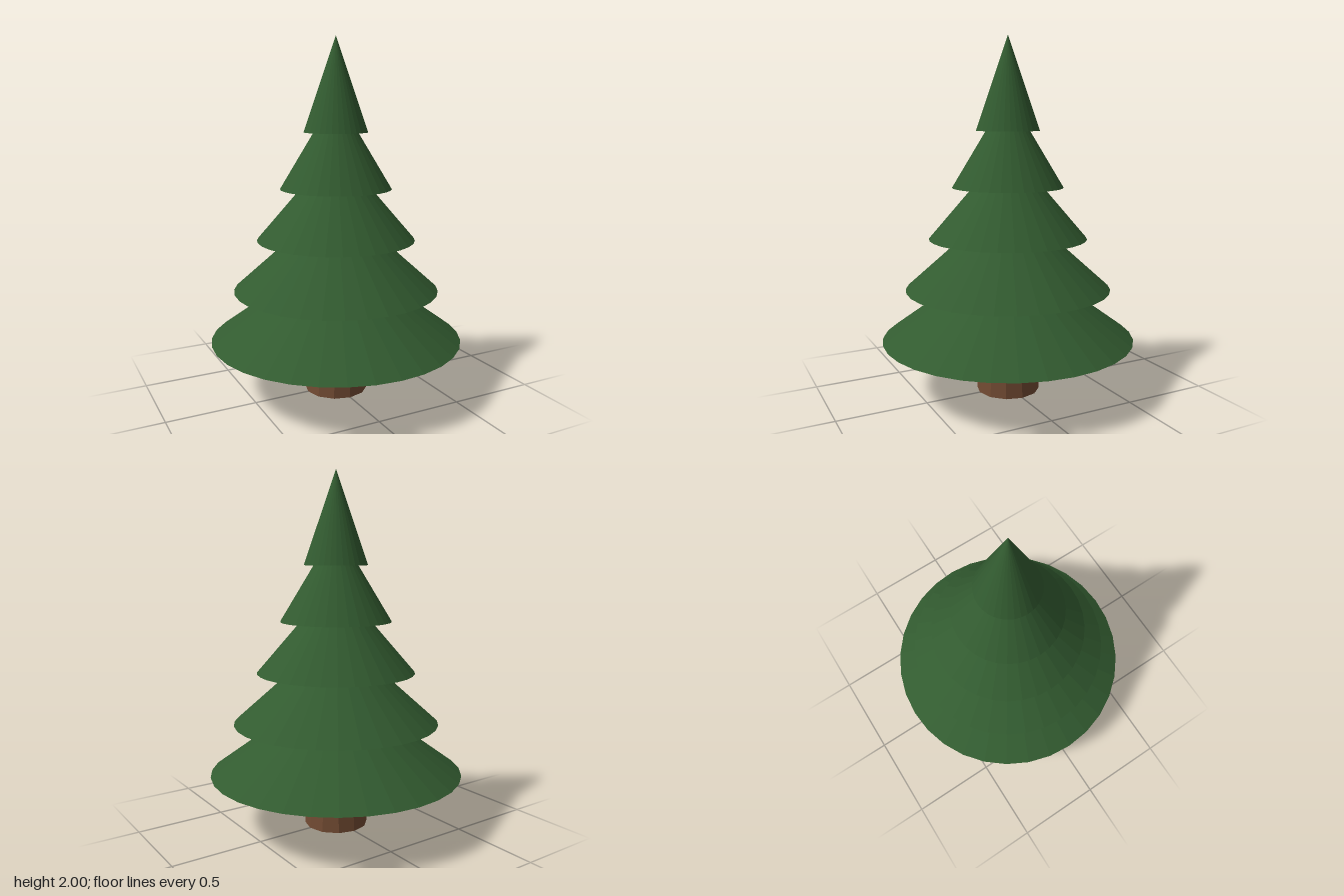
import * as THREE from 'three';

export function createModel() {
  const tree = new THREE.Group();
  tree.name = 'pineTree';

  const needles = new THREE.MeshStandardMaterial({ color: 0x325b30, flatShading: true });
  const bark = new THREE.MeshStandardMaterial({ color: 0x714a32, flatShading: true });

  // Tapered trunk, its top tucked inside the lowest tier
  const trunkHeight = 0.4;
  const trunk = new THREE.Mesh(new THREE.CylinderGeometry(0.15, 0.18, trunkHeight, 12), bark);
  trunk.name = 'trunk';
  trunk.position.y = trunkHeight / 2;
  tree.add(trunk);

  // Five cones of equal height with recessed undersides: [rim radius, rim height]
  const tierHeight = 0.517;
  const recess = 0.055;
  const tiers = [[0.713, 0.313], [0.579, 0.598], [0.445, 0.884], [0.312, 1.171], [0.178, 1.483]];
  tiers.forEach(([radius, base], i) => {
    const profile = [
      new THREE.Vector2(0, recess),
      new THREE.Vector2(radius * 0.63, recess),
      new THREE.Vector2(radius, 0),
      new THREE.Vector2(0, tierHeight),
    ];
    const tier = new THREE.Mesh(new THREE.LatheGeometry(profile, 32), needles);
    tier.name = `foliageTier${i + 1}`;
    tier.position.y = base;
    tree.add(tier);
  });

  return tree;
}
